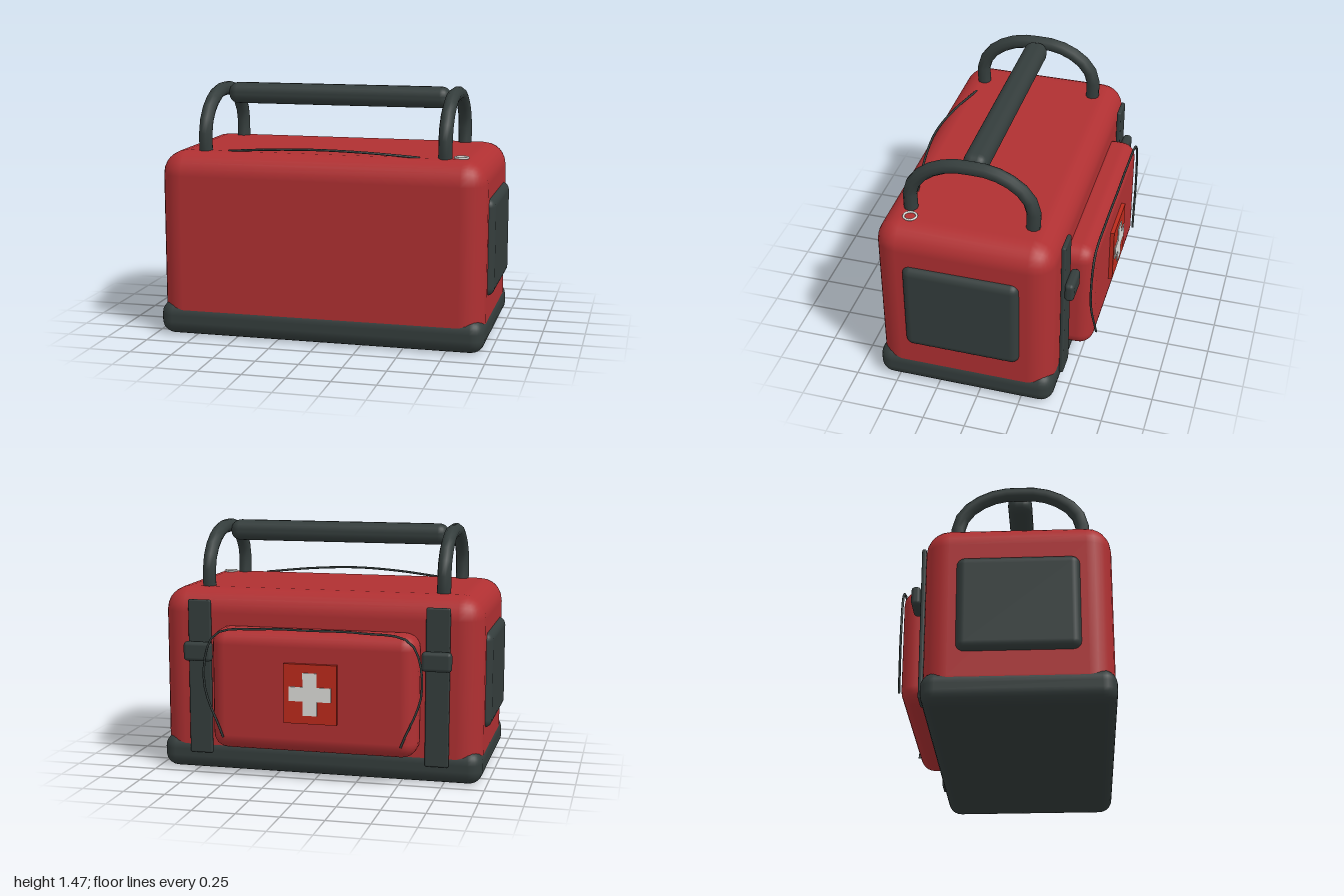
import * as THREE from 'three';
import { RoundedBoxGeometry } from 'three/addons/geometries/RoundedBoxGeometry.js';

const material = (name, color) => {
  const m = new THREE.MeshStandardMaterial({ color });
  m.name = name;
  return m;
};

export function createModel() {
  const red = material('red fabric', 0xb03032);
  const dark = material('dark rubber', 0x343d3c);
  const patchRed = material('patch red', 0xbc2a1c);
  const white = material('off white', 0xdcdcd8);

  const model = new THREE.Group();
  model.name = 'medicalBag';

  const add = (name, geometry, mat, x = 0, y = 0, z = 0) => {
    const mesh = new THREE.Mesh(geometry, mat);
    mesh.name = name;
    mesh.position.set(x, y, z);
    model.add(mesh);
    return mesh;
  };

  // Rounded box given by its minimum and maximum corners
  const roundBox = (name, mat, [x0, y0, z0], [x1, y1, z1], radius, segments = 3) =>
    add(name, new RoundedBoxGeometry(x1 - x0, y1 - y0, z1 - z0, segments, radius), mat,
      (x0 + x1) / 2, (y0 + y1) / 2, (z0 + z1) / 2);

  const tube = (name, mat, points, radius, segments, sides) => {
    const curve = new THREE.CatmullRomCurve3(points.map(p => new THREE.Vector3(...p)));
    return add(name, new THREE.TubeGeometry(curve, segments, radius, sides), mat);
  };

  // Main bag and its protective base
  roundBox('body', red, [-0.965, 0.02, -0.434], [0.965, 1.1, 0.612], 0.14);
  roundBox('base', dark, [-0.972, 0, -0.441], [0.972, 0.2, 0.62], 0.08);

  // Back pocket
  roundBox('pocket', red, [-0.613, 0.17, -0.59], [0.613, 0.89, -0.36], 0.09);

  for (const side of [-1, 1]) {
    const label = side > 0 ? 'left' : 'right';

    // End panel
    const panel = roundBox(label + 'EndPanel', dark, [0.9, 0.3, -0.25], [1, 0.87, 0.435], 0.049);
    panel.position.x *= side;

    // Handle arch, mirrored front to back
    const half = [[0.355, 1.04], [0.355, 1.23], [0.3, 1.325], [0.21, 1.39], [0.11, 1.424]];
    const x = side * 0.715;
    const arch = [
      ...half.map(([z, y]) => [x, y, 0.095 + z]),
      [x, 1.43, 0.095],
      ...half.slice().reverse().map(([z, y]) => [x, y, 0.095 - z]),
    ];
    tube(label + 'HandleArch', dark, arch, 0.041, 16, 10);

    // Strap and buckle beside the pocket
    add(label + 'Strap', new RoundedBoxGeometry(0.14, 0.93, 0.026, 2, 0.01), dark, x, 0.575, -0.453);
    add(label + 'Buckle', new RoundedBoxGeometry(0.175, 0.115, 0.055, 2, 0.022), dark, x, 0.735, -0.492);
  }

  // Grip between the arches
  roundBox('handleGrip', dark, [-0.68, 1.345, 0.02], [0.68, 1.47, 0.162], 0.055);

  // Zip across the top near the front edge
  tube('topZip', dark, [
    [-0.57, 1.1, 0.465], [-0.28, 1.125, 0.52], [0, 1.135, 0.545],
    [0.28, 1.125, 0.52], [0.57, 1.1, 0.465],
  ], 0.007, 20, 6);

  // Zip pull ring
  add('zipRing', new THREE.TorusGeometry(0.037, 0.007, 6, 20), white, 0.805, 1.104, 0.428)
    .rotation.x = Math.PI / 2;

  // Zip around the pocket
  const zipHalf = [[0.53, 0.25, -0.603], [0.648, 0.58, -0.588], [0.58, 0.855, -0.588], [0.3, 0.9, -0.59]];
  tube('pocketZip', dark, [
    ...zipHalf,
    [0, 0.903, -0.591],
    ...zipHalf.slice().reverse().map(([x, y, z]) => [-x, y, z]),
  ], 0.007, 40, 6);

  // Patch with a plain cross
  add('patch', new THREE.BoxGeometry(0.315, 0.35, 0.025), patchRed, 0, 0.535, -0.6015);
  const a = 0.125, b = 0.042;
  const cross = new THREE.Shape([
    [-b, -a], [b, -a], [b, -b], [a, -b], [a, b], [b, b],
    [b, a], [-b, a], [-b, b], [-a, b], [-a, -b], [-b, -b],
  ].map(p => new THREE.Vector2(...p)));
  add('patchCross', new THREE.ExtrudeGeometry(cross, { depth: 0.008, bevelEnabled: false }),
    white, 0, 0.535, -0.62);

  return model;
}
